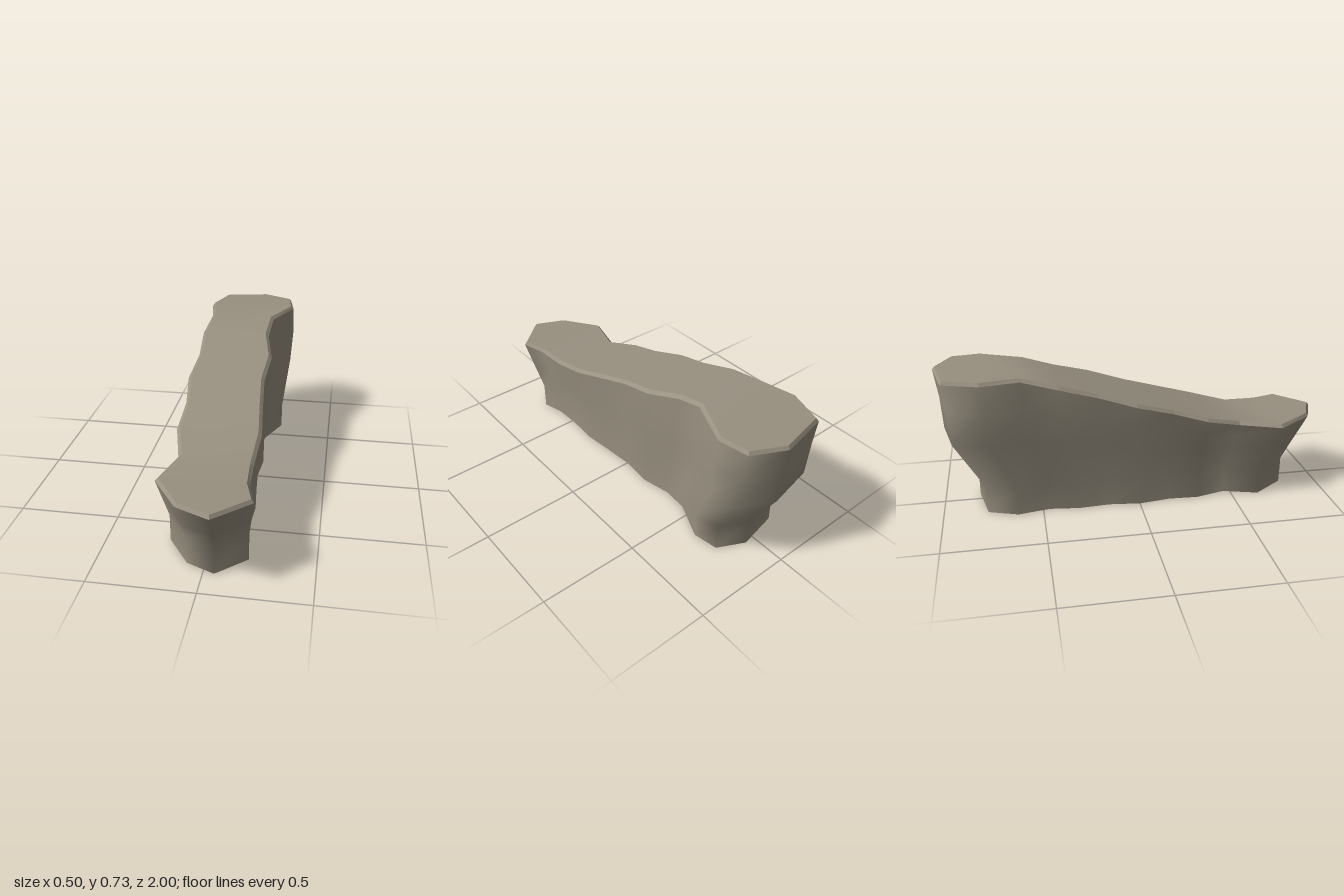
import * as THREE from 'three';

// Rim outline (x, z): back left, round the back, down the right, round the front, up the left
const RIM = [
  [-0.24, -0.77], [-0.18, -0.95], [0.06, -1.0], [0.22, -0.92], [0.246, -0.77], [0.15, -0.55],
  [0.14, -0.4], [0.178, -0.22], [0.162, -0.03], [0.178, 0.16], [0.197, 0.35], [0.185, 0.55],
  [0.19, 0.72], [0.225, 0.85], [0.06, 1.0], [-0.1, 0.93], [-0.232, 0.74], [-0.172, 0.53],
  [-0.218, 0.35], [-0.21, 0.17], [-0.236, -0.02], [-0.215, -0.21], [-0.227, -0.4], [-0.206, -0.58],
];
const N = RIM.length;
const BEVEL = 0.016;
const { lerp, clamp, smoothstep } = THREE.MathUtils;

// Height of the top: low shelf in front, ramp, high shelf at the back
function topHeight(z) {
  if (z > 0.56) return 0.4;
  if (z > 0.37) return lerp(0.45, 0.4, (z - 0.37) / 0.19);
  return lerp(0.45, 0.725, clamp((0.37 - z) / 0.92, 0, 1));
}

// Wall levels: share of the height above the foot, and flare at the front and back
const LEVELS = [
  { foot: 0, rise: 0, front: 0, back: 0, bulge: 0 },
  { foot: 0.14, rise: 0, front: 0, back: 0, bulge: 0 },
  { foot: 0.14, rise: 0.45, front: 0.45, back: 0.84, bulge: 0 },
  { foot: 0.14, rise: 0.75, front: 0.75, back: 0.89, bulge: 0.04 },
  { foot: 0.14, rise: 1, front: 1, back: 1, bulge: 0 },
];

function wallPoint([x, z], level) {
  const rear = smoothstep(-z, -0.1, 0.7);
  const flare = lerp(level.front, level.back, rear);
  const h = topHeight(z) - BEVEL;
  return [
    lerp(x * 0.85, x, flare) * (1 + level.bulge * rear),
    level.foot + (h - 0.14) * level.rise,
    lerp(0.02 + z * 0.84, z, flare),
  ];
}

// Rim moved inwards for the bevel's upper edge, narrower at the two ends
function insetPoint(i) {
  const [ax, az] = RIM[(i + N - 1) % N], [x, z] = RIM[i], [bx, bz] = RIM[(i + 1) % N];
  const d1 = new THREE.Vector2(x - ax, z - az).normalize();
  const d2 = new THREE.Vector2(bx - x, bz - z).normalize();
  const n1 = new THREE.Vector2(-d1.y, d1.x), n2 = new THREE.Vector2(-d2.y, d2.x);
  const m = n1.clone().add(n2).normalize();
  const k = lerp(0.017, 0.011, smoothstep(Math.abs(z), 0.5, 0.9)) / m.dot(n1);
  return [x + m.x * k, topHeight(z), z + m.y * k];
}

function makeGeometry(points, index) {
  const g = new THREE.BufferGeometry();
  g.setAttribute('position', new THREE.Float32BufferAttribute(points.flat(), 3));
  g.setIndex(index);
  g.computeVertexNormals();
  return g;
}

// Band of quads joining stacked rings
function loft(rings) {
  const index = [];
  for (let k = 0; k < rings.length - 1; k++) {
    for (let i = 0; i < N; i++) {
      const c = k * N + i, n = k * N + (i + 1) % N;
      index.push(n, c, c + N, n, c + N, n + N);
    }
  }
  return makeGeometry(rings.flat(), index);
}

// Cap laid as cross strips between facing left and right points
function cap(ring) {
  const right = (j) => 3 + j, left = (j) => (1 - j + N) % N;
  const index = [2, left(0), right(0)];
  for (let j = 0; j < 10; j++) {
    index.push(right(j), left(j), left(j + 1));
    index.push(right(j), left(j + 1), right(j + 1));
  }
  index.push(right(10), left(10), 14);
  return makeGeometry(ring, index);
}

export function createModel() {
  const group = new THREE.Group();
  group.name = 'rockLedge';
  // The shell is open underneath, so its inside shows too
  const stone = new THREE.MeshStandardMaterial({ color: 0x989080, side: THREE.DoubleSide });
  stone.name = 'stone';
  const add = (name, geometry) => {
    const mesh = new THREE.Mesh(geometry, stone);
    mesh.name = name;
    group.add(mesh);
  };

  const rings = LEVELS.map((level) => RIM.map((p) => wallPoint(p, level)));
  const edge = RIM.map((_, i) => insetPoint(i));

  // Faceted bevel between the smooth wall and the top
  const bevel = loft([rings[rings.length - 1], edge]).toNonIndexed();
  bevel.computeVertexNormals();

  add('rockWall', loft(rings));
  add('bevelledRim', bevel);
  add('topSurface', cap(edge));
  return group;
}
